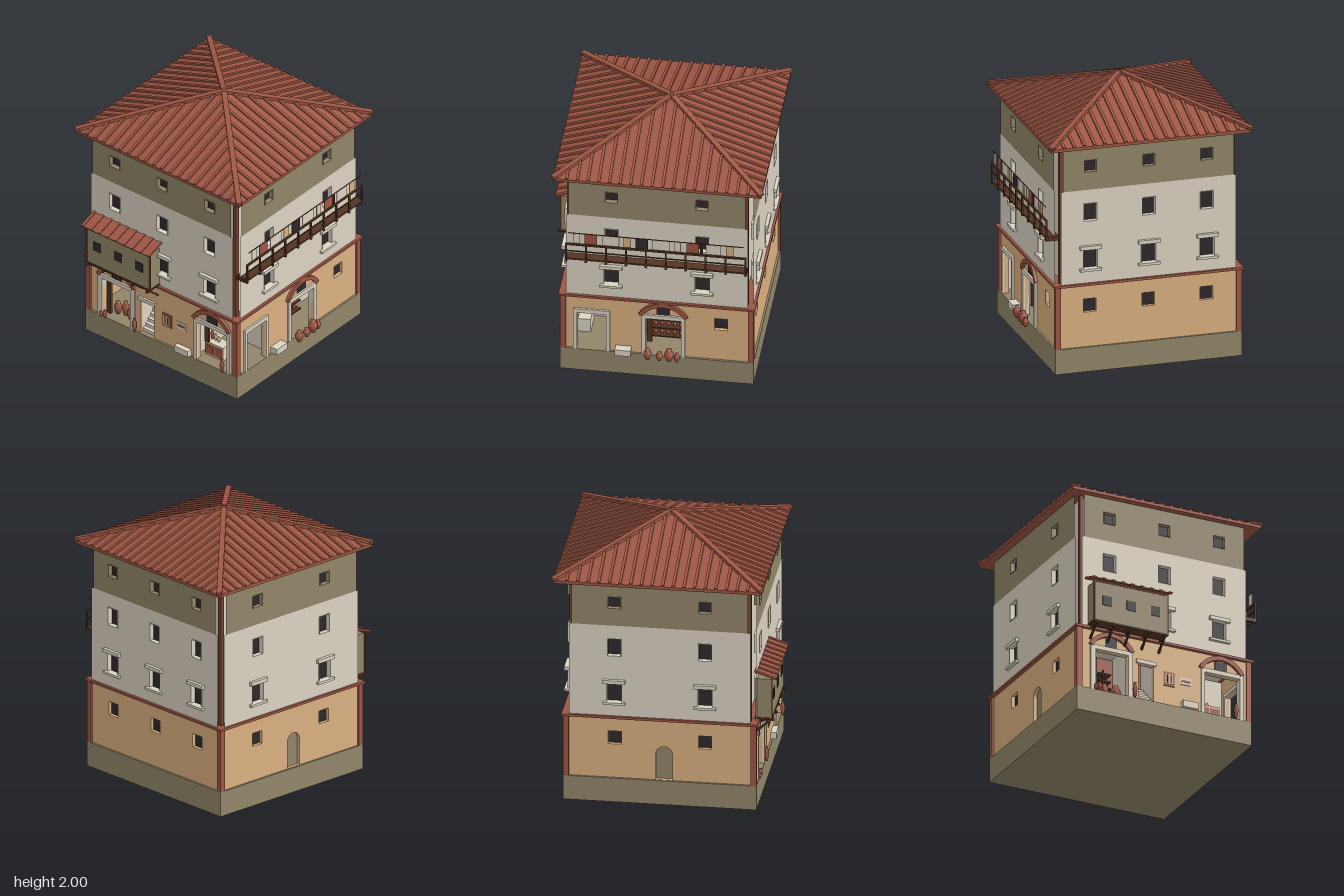
import * as THREE from 'three';

const mat = (name, color) => Object.assign(new THREE.MeshStandardMaterial({ color }), { name });
const terracotta = mat('terracotta', 0x9e5644), plaster = mat('plaster', 0xdcd3c3), tan = mat('ochre wall', 0xdab181),
  olive = mat('olive stone', 0x918669), dark = mat('dark opening', 0x30282b), wood = mat('dark wood', 0x553524),
  brown = mat('brown trim', 0x74452f);

const FLOOR = 0.185, G = 0.68;                 // plinth top, ground wall distance
const U = 0.688, CORE = 0.62;                  // upper wall plane distance, core half width

function add(parent, name, geo, material, x = 0, y = 0, z = 0) {
  const m = new THREE.Mesh(geo, material);
  m.name = name;
  m.position.set(x, y, z);
  parent.add(m);
  return m;
}
// box placed by the middle of its underside
const box = (p, name, m, x, y, z, w, h, d) => add(p, name, new THREE.BoxGeometry(w, h, d), m, x, y + h / 2, z);

// square beam between two points
function beam(p, name, m, a, b, w, h) {
  const A = new THREE.Vector3(...a), B = new THREE.Vector3(...b);
  const mesh = new THREE.Mesh(new THREE.BoxGeometry(w, h, A.distanceTo(B)), m);
  mesh.name = name;
  mesh.position.copy(A).lerp(B, 0.5);
  mesh.lookAt(B);
  p.add(mesh);
}

const potProfile = [[0, 0], [0.45, 0], [0.85, 0.3], [1, 0.55], [0.85, 0.75], [0.45, 0.87], [0.6, 1], [0, 1]]
  .map(([x, y]) => new THREE.Vector2(x, y));
function pot(p, x, y, z, r, h, m = terracotta) {
  add(p, 'pot', new THREE.LatheGeometry(potProfile, 12), m, x, y, z).scale.set(r, h, r);
}

// rectangle outline, drawn on a shape or a hole path
function rect(path, u, y, w, h) {
  path.moveTo(u - w / 2, y); path.lineTo(u + w / 2, y);
  path.lineTo(u + w / 2, y + h); path.lineTo(u - w / 2, y + h);
  path.closePath();
  return path;
}

// upper wall plane with recessed windows [u, y, w, h]
function upperWall(p, m, half, y0, y1, windows) {
  const wall = rect(new THREE.Shape(), 0, y0, 2 * half, y1 - y0);
  for (const [u, y, w, h] of windows) {
    wall.holes.push(rect(new THREE.Path(), u, y, w, h));
    const ring = rect(new THREE.Shape(), u, y - 0.004, w + 0.008, h + 0.008);
    ring.holes.push(rect(new THREE.Path(), u, y, w, h));
    add(p, 'windowReveal', new THREE.ExtrudeGeometry(ring, { depth: 0.044, bevelEnabled: false }), m, 0, 0, U - 0.04);
    box(p, 'windowPane', dark, u, y, U - 0.036, w, h, 0.004);
  }
  add(p, 'upperWall', new THREE.ShapeGeometry(wall), m, 0, 0, U);
}

// ground-floor wall with door notches [u, w, h], recessed windows and an optional arched doorway
function groundWall(p, openings, windows, archedDoor) {
  const s = new THREE.Shape();
  s.moveTo(-G, 0);
  for (const [u, w, h] of openings) {
    s.lineTo(u - w / 2, 0); s.lineTo(u - w / 2, h);
    s.lineTo(u + w / 2, h); s.lineTo(u + w / 2, 0);
  }
  s.lineTo(G, 0); s.lineTo(G, 0.475); s.lineTo(-G, 0.475);
  for (const u of windows) {
    s.holes.push(rect(new THREE.Path(), u, 0.445 - FLOOR, 0.095, 0.1));
    box(p, 'groundWindow', dark, u, 0.44, G - 0.03, 0.105, 0.11, 0.006);
  }
  if (archedDoor) {
    const d = new THREE.Path();
    d.moveTo(-0.03, 0.002); d.lineTo(0.09, 0.002); d.lineTo(0.09, 0.2);
    d.absarc(0.03, 0.2, 0.06, 0, Math.PI, false);
    s.holes.push(d);
    box(p, 'archedDoor', olive, 0.03, FLOOR, G - 0.03, 0.14, 0.28, 0.006);
  }
  add(p, 'groundWall', new THREE.ExtrudeGeometry(s, { depth: 0.03, bevelEnabled: false }), tan, 0, FLOOR, G - 0.03);
}

function doorFrame(p, u, w, h, t) {
  for (const s of [-1, 1]) box(p, 'doorJamb', plaster, u + s * (w + t) / 2, FLOOR, G - 0.01, t, h, 0.05);
  box(p, 'doorLintel', plaster, u, FLOOR + h, G - 0.01, w + 2 * t, 0.033, 0.05);
}

// relieving arch with a small window under it
function arch(p, u) {
  const s = new THREE.Shape(), a = 0.48;
  s.absarc(0, 0, 0.2, a, Math.PI - a, false);
  s.absarc(0, 0, 0.168, Math.PI - a, a, true);
  add(p, 'arch', new THREE.ExtrudeGeometry(s, { depth: 0.025, bevelEnabled: false, curveSegments: 16 }), terracotta, u, 0.447, G - 0.003);
  box(p, 'archWindow', dark, u, 0.54, G, 0.095, 0.068, 0.008);
}

function picture(p, u, y, z) {
  box(p, 'pictureFrame', terracotta, u, y, z, 0.088, 0.11, 0.008);
  box(p, 'pictureField', tan, u, y + 0.016, z + 0.003, 0.06, 0.078, 0.008);
  for (const s of [-1, 1]) box(p, 'pictureFigure', dark, u + s * 0.013, y + 0.025, z + 0.006, 0.01, 0.06, 0.006);
}

function frontSide(p) {
  groundWall(p, [[-0.417, 0.26, 0.318], [-0.14, 0.12, 0.28], [0.462, 0.275, 0.318]], []);
  doorFrame(p, -0.417, 0.26, 0.318, 0.038);
  doorFrame(p, 0.462, 0.275, 0.318, 0.028);
  arch(p, -0.42); arch(p, 0.455);
  // pottery shop
  box(p, 'shopBackWall', terracotta, -0.42, FLOOR, 0.304, 0.4, 0.45, 0.008);
  box(p, 'shopDoorLeaf', wood, -0.528, FLOOR, 0.63, 0.036, 0.285, 0.02);
  for (let i = 0; i < 4; i++) box(p, 'shopShelf', wood, -0.33, 0.3 + i * 0.055, 0.36, 0.1, 0.01, 0.1);
  box(p, 'shelfPost', wood, -0.345, FLOOR, 0.41, 0.01, 0.31, 0.01);
  for (const [x, z, r, h] of [[-0.55, 0.7, 0.014, 0.04], [-0.515, 0.7, 0.016, 0.06], [-0.475, 0.6, 0.03, 0.1],
    [-0.42, 0.58, 0.028, 0.11], [-0.345, 0.6, 0.04, 0.1], [-0.24, 0.705, 0.017, 0.11], [0.565, 0.705, 0.017, 0.11]])
    pot(p, x, FLOOR, z, r, h);
  // stair entry
  box(p, 'stairLintel', plaster, -0.14, 0.465, G - 0.005, 0.155, 0.03, 0.04);
  for (const s of [-1, 1]) box(p, 'stairWall', plaster, -0.14 + s * 0.07, FLOOR, 0.48, 0.02, 0.46, 0.36);
  box(p, 'stairBack', terracotta, -0.14, FLOOR, 0.47, 0.12, 0.46, 0.01);
  for (let i = 0; i < 6; i++) box(p, 'step', plaster, -0.14, FLOOR, 0.645 - i * 0.028, 0.12, 0.027 * (i + 1), 0.028);
  // wall decorations and bench
  picture(p, 0.042, 0.335, G + 0.002);
  box(p, 'plaque', plaster, 0.175, 0.37, G + 0.002, 0.09, 0.055, 0.008);
  box(p, 'plaqueStripe', terracotta, 0.175, 0.39, G + 0.005, 0.07, 0.015, 0.008);
  box(p, 'bench', plaster, 0.2, FLOOR, G + 0.015, 0.125, 0.05, 0.05);
  // corner shop
  picture(p, 0.49, 0.335, 0.306);
  box(p, 'shopDoorLeaf', wood, 0.345, 0.3, 0.6, 0.035, 0.17, 0.02);
  box(p, 'counter', plaster, 0.405, FLOOR, 0.55, 0.165, 0.11, 0.09);
  box(p, 'counterFront', tan, 0.405, FLOOR, 0.595, 0.165, 0.11, 0.006);
  for (const s of [-1, 1]) box(p, 'counterPanel', terracotta, 0.405 + s * 0.04, 0.2, 0.598, 0.07, 0.075, 0.008);
  for (let i = 0; i < 3; i++) pot(p, 0.35 + i * 0.03, 0.295, 0.55, 0.013, 0.08 - i * 0.02, i ? tan : terracotta);
  overhang(p);
}

// projecting room with tiled lean-to roof and struts
function overhang(p) {
  const u = -0.315, w = 0.58;
  box(p, 'overhangRoom', olive, u, 0.685, 0.735, w, 0.3, 0.12);
  box(p, 'overhangFloor', wood, u, 0.672, 0.735, w + 0.01, 0.013, 0.13);
  for (const s of [-1, 1]) box(p, 'overhangPost', brown, u + s * w / 2, 0.68, 0.793, 0.012, 0.31, 0.012);
  box(p, 'overhangTopRail', brown, u, 0.98, 0.793, w, 0.01, 0.012);
  for (let i = -1; i <= 1; i++) box(p, 'overhangWindow', dark, u + i * 0.192, 0.805, 0.796, 0.072, 0.075, 0.006);
  beam(p, 'overhangRoof', terracotta, [u, 0.993, 0.828], [u, 1.046, 0.67], 0.62, 0.008);
  for (let i = -4; i <= 4; i++)
    beam(p, 'overhangTile', terracotta, [u + i * 0.0755, 0.997, 0.83], [u + i * 0.0755, 1.05, 0.67], 0.022, 0.014);
  for (let i = -2; i <= 2; i++) {
    const x = u + i * 0.136;
    box(p, 'overhangJoist', wood, x, 0.655, 0.745, 0.014, 0.017, 0.13);
    beam(p, 'overhangStrut', wood, [x, 0.66, 0.78], [x, 0.575, 0.685], 0.014, 0.014);
  }
}

function balconySide(p) {
  groundWall(p, [[-0.47, 0.21, 0.32], [0.045, 0.255, 0.318]], [0.46]);
  doorFrame(p, -0.47, 0.21, 0.32, 0.026);
  doorFrame(p, 0.045, 0.255, 0.318, 0.028);
  arch(p, 0.045);
  box(p, 'bench', plaster, -0.24, FLOOR, G + 0.025, 0.115, 0.05, 0.07);
  // pots hanging in the corner shop
  for (let i = 0; i < 3; i++) pot(p, -0.45 + i * 0.028, 0.315 + i * 0.03, 0.35, 0.012, 0.045);
  // shelves of pottery
  box(p, 'shelfBack', terracotta, 0.045, FLOOR, 0.455, 0.36, 0.45, 0.008);
  box(p, 'shopDoorLeaf', wood, -0.06, 0.26, 0.63, 0.036, 0.2, 0.02);
  for (let j = 0; j < 4; j++) {
    box(p, 'shelf', wood, 0.06, 0.25 + j * 0.072, 0.51, 0.26, 0.01, 0.1);
    for (let i = 0; i < 5; i++) pot(p, -0.03 + i * 0.045, 0.26 + j * 0.072, 0.53, 0.014, 0.042);
  }
  for (const [x, r, h] of [[-0.06, 0.03, 0.09], [0.025, 0.026, 0.07], [0.095, 0.035, 0.1], [0.15, 0.022, 0.07]])
    pot(p, x, FLOOR, G + 0.068, r, h);
  // balcony
  box(p, 'balconyFloor', wood, 0, 1.018, 0.705, 1.3, 0.012, 0.1);
  for (let i = 0; i < 10; i++) {
    const x = -0.645 + i * 0.1433;
    box(p, 'balconyJoist', wood, x, 0.998, 0.705, 0.016, 0.02, 0.1);
    box(p, 'balconyPost', wood, x, 1.03, 0.748, 0.012, 0.12, 0.012);
  }
  box(p, 'balconyRail', wood, 0, 1.145, 0.748, 1.3, 0.013, 0.014);
  box(p, 'balconyMidRail', wood, 0, 1.088, 0.748, 1.3, 0.007, 0.008);
  // washing line
  box(p, 'clothesLine', wood, 0, 1.248, 0.748, 1.26, 0.005, 0.005);
  const clothes = [[0.54, 0.05, plaster], [0.437, 0.09, terracotta], [0.295, 0.125, plaster], [0.175, 0.055, tan],
    [0.07, 0.09, dark], [-0.067, 0.125, plaster], [-0.187, 0.045, plaster], [-0.297, 0.09, terracotta],
    [-0.36, 0.02, dark], [-0.445, 0.11, plaster], [-0.562, 0.055, tan]];
  for (const [z, w, m] of clothes) box(p, 'laundry', m, -0.03 - z, 1.165, 0.748, w, 0.082, 0.005);
}

const backSide = (p) => groundWall(p, [], [-0.435, 0, 0.435]);
const plainSide = (p) => groundWall(p, [], [-0.325, 0.325], true);

function roof(parent) {
  const g = new THREE.Group();
  g.name = 'roof';
  g.position.set(-0.01, 0, -0.04);
  parent.add(g);
  const R = 0.75, y0 = 1.722, rise = 0.258;
  box(g, 'eaves', terracotta, 0, 1.7, 0, 2 * R, y0 - 1.7, 2 * R);
  add(g, 'roofPyramid', new THREE.ConeGeometry(R * Math.SQRT2, rise, 4, 1).rotateY(Math.PI / 4).toNonIndexed(), terracotta, 0, y0 + rise / 2, 0)
    .geometry.computeVertexNormals();
  for (let k = 0; k < 4; k++) {
    const side = new THREE.Group();
    side.name = 'roofSide';
    side.rotation.y = k * Math.PI / 2;
    g.add(side);
    for (let i = -10; i < 10; i++) {
      const u = (i + 0.5) * 0.0765, d = Math.abs(u);
      beam(side, 'roofTile', terracotta, [u, y0 + 0.002, R], [u, y0 + 0.002 + rise * (1 - d / R), d], 0.02, 0.022);
    }
    beam(side, 'hipTile', terracotta, [R, y0 + 0.008, R], [0, y0 + rise + 0.008, 0], 0.04, 0.024);
  }
}

export function createModel() {
  const model = new THREE.Group();
  model.name = 'townHouse';
  const house = new THREE.Group();
  house.name = 'house';
  house.position.set(-0.01, 0, -0.03);
  model.add(house);

  // main masses and interior partitions
  box(house, 'plinth', olive, 0, 0, 0, 1.39, FLOOR, 1.39);
  box(house, 'upperCore', plaster, 0, 0.645, 0, 2 * CORE, 1.06, 2 * CORE);
  box(house, 'stringCourse', terracotta, 0, 0.65, 0, 1.412, 0.018, 1.412);
  box(house, 'interiorCore', plaster, -0.1, FLOOR, -0.175, 1.09, 0.46, 0.94);
  box(house, 'shopPartition', plaster, 0.28, FLOOR, 0.475, 0.02, 0.46, 0.35);
  box(house, 'sidePartition', plaster, 0.55, FLOOR, 0.295, 0.2, 0.46, 0.02);

  // corner trim
  for (const x of [-1, 1]) for (const z of [-1, 1]) {
    box(house, 'cornerPilaster', terracotta, x * 0.675, FLOOR, z * 0.675, 0.04, 0.465, 0.04);
    box(house, 'cornerPost', brown, x * 0.638, 0.66, z * 0.638, 0.03, 1.04, 0.03);
  }

  // four sides, each in its own frame with z outward
  [frontSide, balconySide, backSide, plainSide].forEach((build, k) => {
    const side = new THREE.Group();
    side.name = ['frontSide', 'balconySide', 'backSide', 'plainSide'][k];
    side.rotation.y = k * Math.PI / 2;
    house.add(side);
    build(side);
    const columns = k % 2 ? [-0.328, 0.325] : [-0.433, 0.002, 0.437];
    upperWall(side, plaster, 0.653, 0.66, 1.37,
      columns.flatMap((u) => [[u, 0.775, 0.105, 0.155], [u, 1.135, 0.095, 0.13]]));
    upperWall(side, olive, 0.636, 1.37, 1.705, columns.map((u) => [u, 1.505, 0.088, 0.086]));
    for (const u of columns) {
      box(side, 'lintel', plaster, u, 0.922, 0.688, 0.16, 0.028, 0.05);
      box(side, 'sill', plaster, u, 0.76, 0.688, 0.16, 0.018, 0.05);
    }
  });

  roof(model);
  return model;
}
